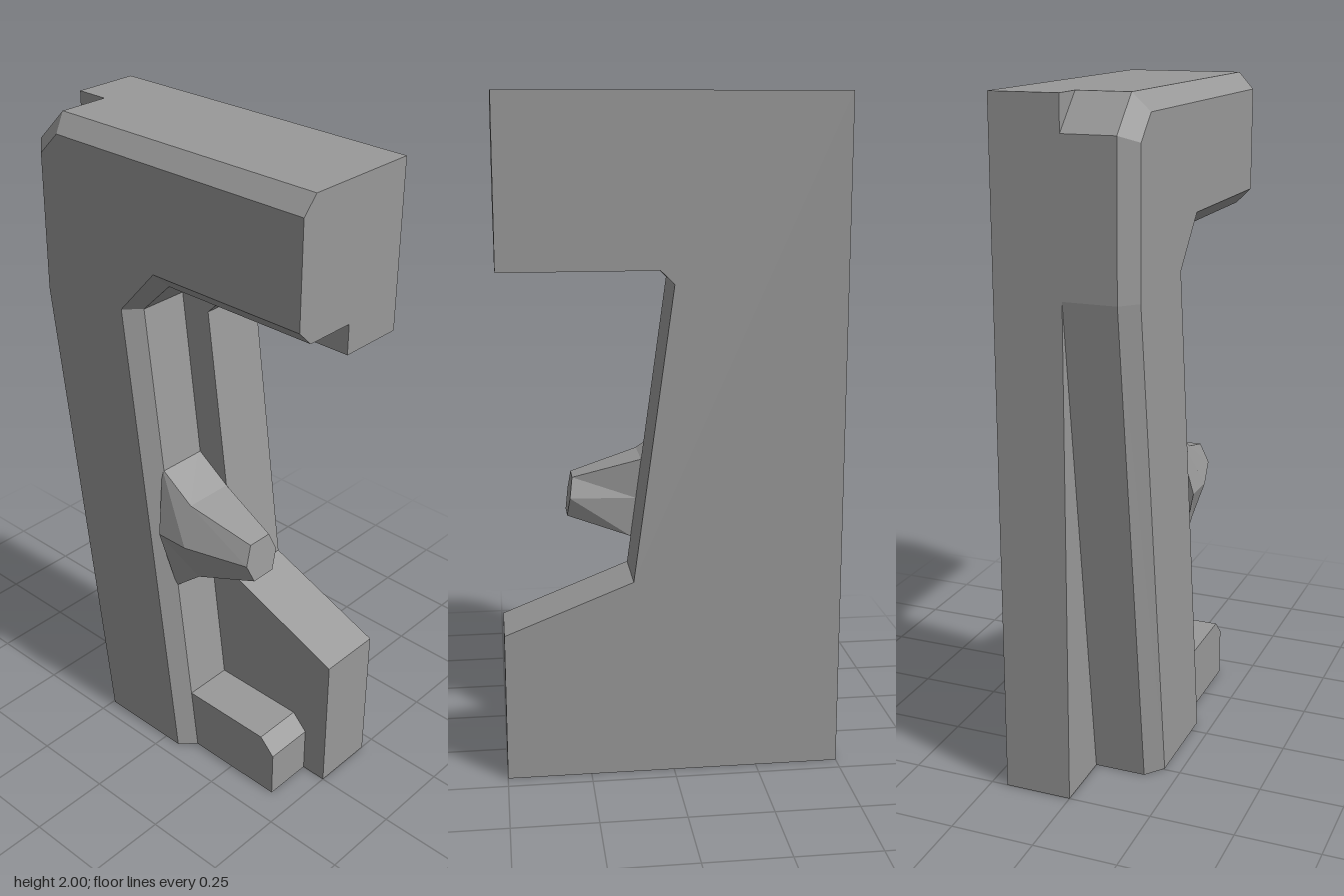
import * as THREE from 'three';

const grey = new THREE.MeshStandardMaterial({ color: 0x999999 });
grey.name = 'plain grey';
grey.flatShading = true;

// Joins closed sections (each { pts, place }) and caps both ends.
// Points run counter-clockwise as seen from the last section's side.
function loft(name, sections) {
  const rings = sections.map(({ pts, place }) => pts.map(([u, v]) => place(u, v)));
  const pos = [];
  const tri = (a, b, c) => pos.push(...a, ...b, ...c);
  for (let s = 0; s < rings.length - 1; s++) {
    const a = rings[s], b = rings[s + 1], n = a.length;
    for (let i = 0; i < n; i++) {
      const j = (i + 1) % n;
      tri(a[i], a[j], b[j]);
      tri(a[i], b[j], b[i]);
    }
  }
  const cap = (k, flip) => {
    const flat = sections[k].pts.map(([u, v]) => new THREE.Vector2(u, v));
    for (const [a, b, c] of THREE.ShapeUtils.triangulateShape(flat, [])) {
      const r = rings[k];
      if (flip) tri(r[a], r[c], r[b]);
      else tri(r[a], r[b], r[c]);
    }
  };
  cap(0, true);
  cap(rings.length - 1, false);
  const geo = new THREE.BufferGeometry();
  geo.setAttribute('position', new THREE.Float32BufferAttribute(pos, 3));
  geo.computeVertexNormals();
  const mesh = new THREE.Mesh(geo, grey);
  mesh.name = name;
  return mesh;
}

// Section of (z, y) points standing at a given x
const atX = (x, pts) => ({ pts, place: (z, y) => [x, y, z] });
// Section of (x, y) points on a plane parallel to the sloping front edge
const onSlope = (offset, pts) => ({
  pts, place: (x, y) => [x, y, 0.12 - 0.138 * (y - 0.6) + offset],
});

export function createModel() {
  const group = new THREE.Group();
  group.name = 'bracket';

  // Flat C-shaped side plate
  const plate = [
    [-0.5, 0], [0.5, 0], [0.5, 0.45], [0.12, 0.6], [0, 1.47],
    [0.04, 1.51], [0.5, 1.51], [0.5, 2], [-0.5, 2],
  ];
  group.add(loft('sidePlate', [atX(0.2, plate), atX(0, plate)]));

  // Bent arm with a bevelled outer edge
  const inner = [
    [-0.3, 0], [0.1, 0], [-0.1, 1.5], [0, 1.6], [0.5, 1.6],
    [0.5, 2], [-0.4, 2], [-0.5, 1.9], [-0.5, 1.47],
  ];
  const outer = [
    [-0.245, 0], [0.055, 0], [-0.145, 1.5], [-0.015, 1.645], [0.5, 1.645],
    [0.5, 1.95], [-0.38, 1.95], [-0.45, 1.88], [-0.45, 1.47],
  ];
  group.add(loft('bevelledArm', [atX(0, inner), atX(-0.155, inner), atX(-0.2, outer)]));

  // Low foot with a chamfered front
  const foot = [[0, 0], [0.42, 0], [0.42, 0.15], [0.37, 0.2], [0, 0.2]];
  group.add(loft('foot', [atX(0, foot), atX(-0.155, foot)]));

  // Six-sided tapered peg on a flared base
  const pegBase = (h) => [
    [-0.155, 0.8 + h], [-0.2, 0.8], [-0.155, 0.8 - h], [0, 0.8 - h], [0, 0.8], [0, 0.8 + h],
  ];
  const tip = [
    [-0.12, 0.86], [-0.145, 0.8], [-0.12, 0.74], [-0.04, 0.74], [-0.015, 0.8], [-0.04, 0.86],
  ];
  group.add(loft('peg', [
    onSlope(-0.105, pegBase(0.2)), onSlope(0, pegBase(0.12)), onSlope(0.198, tip),
  ]));

  return group;
}
